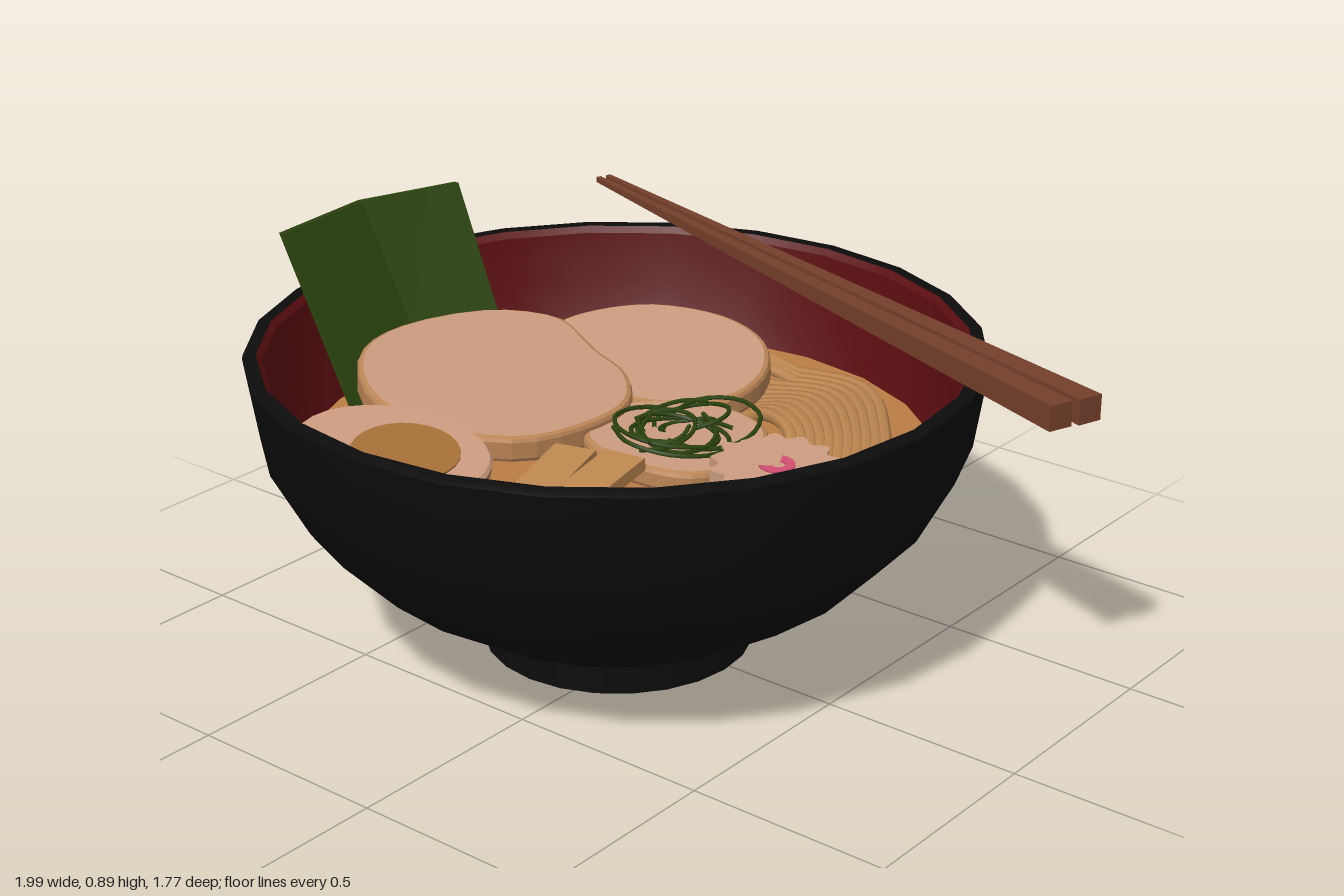
import * as THREE from 'three';
import { toCreasedNormals } from 'three/addons/utils/BufferGeometryUtils.js';

const CX = -0.115, CZ = 0.02, SOUP = 0.48;

function mat(name, color, side = THREE.FrontSide) {
  const m = new THREE.MeshStandardMaterial({ color, side });
  m.name = name;
  return m;
}

export function createModel() {
  const root = new THREE.Group();
  root.name = 'noodleBowl';
  const black = mat('black lacquer', 0x0c0c0c);
  const red = mat('dark red lacquer', 0x5a0d10);
  const broth = mat('broth', 0xba7d44);
  const noodle = mat('noodle tan', 0xbd8650);
  const pale = mat('pale pink', 0xcb9c7f);
  const tan = mat('meat edge', 0xbb8556);
  const yolkMat = mat('yolk', 0xa56f38);
  const green = mat('dark green', 0x2b430e);
  const wood = mat('reddish wood', 0x75402b);
  const pink = mat('pink', 0xcf4d70);

  const add = (name, geo, material, parent = root) => {
    const m = new THREE.Mesh(geo, material);
    m.name = name;
    parent.add(m);
    return m;
  };
  const lathe = (name, pts, material) => {
    const g = new THREE.LatheGeometry(pts.map(p => new THREE.Vector2(...p)), 24);
    add(name, g, material).position.set(CX, 0, CZ);
  };

  // Bowl
  lathe('footBase', [[0, 0], [0.325, 0]], black);
  lathe('foot', [[0.325, 0], [0.325, 0.085]], black);
  lathe('bowlOutside', [[0.325, 0.08], [0.44, 0.13], [0.61, 0.24], [0.745, 0.38], [0.83, 0.54], [0.86, 0.74]], black);
  lathe('bowlRim', [[0.86, 0.74], [0.858, 0.75], [0.828, 0.75]], black);
  lathe('bowlLip', [[0.828, 0.75], [0.815, 0.735]], red);
  lathe('bowlInside', [[0.815, 0.735], [0.795, 0.62], [0.75, SOUP], [0.72, 0.43]], red);
  lathe('soup', [[0.752, SOUP], [0, SOUP]], broth);

  // Noodle strands lying half sunk in the soup, given as [x, z] points
  const strand = (pts, y = SOUP + 0.012) => {
    const curve = new THREE.CatmullRomCurve3(pts.map(([x, z], i) =>
      new THREE.Vector3(x, i === 0 || i === pts.length - 1 ? SOUP - 0.01 : y, z)));
    add('noodle', new THREE.TubeGeometry(curve, 18, 0.017, 6), noodle);
  };
  const mix = (a, b, t) => a.map((p, i) => [p[0] + (b[i][0] - p[0]) * t, p[1] + (b[i][1] - p[1]) * t]);
  const inner = [[-0.02, -0.3], [0.1, -0.28], [0.22, -0.21], [0.28, -0.12]];
  const outer = [[-0.12, -0.64], [0.14, -0.62], [0.34, -0.42], [0.49, -0.19]];
  for (let i = 0; i < 11; i++) strand(mix(inner, outer, i / 10), SOUP + 0.045 - i * 0.003);
  const arc = (r, from, to) => {
    const pts = [];
    for (let k = 0; k <= 5; k++) {
      const a = THREE.MathUtils.degToRad(from + (to - from) * k / 5);
      pts.push([CX + r * Math.cos(a), CZ + r * Math.sin(a)]);
    }
    strand(pts, SOUP + 0.02);
  };
  for (let i = 0; i < 6; i++) arc(0.42 + i * 0.045, 75 + i * 3, 165 - i * 2);
  for (let i = 0; i < 3; i++) arc(0.6 + i * 0.03, 190 + i * 8, 285 - i * 5);
  strand([[0.05, 0.56], [0.12, 0.53], [0.2, 0.52], [0.28, 0.43]]);
  strand([[0.04, 0.6], [0.14, 0.57], [0.22, 0.58], [0.28, 0.6]]);
  strand([[0.57, 0.06], [0.54, 0.15], [0.44, 0.22]]);
  strand([[0.5, 0.07], [0.47, 0.14], [0.4, 0.18]]);
  strand([[0.13, 0.2], [0.16, 0.32], [0.13, 0.45]]);
  strand([[0.3, 0.15], [0.22, 0.23], [0.14, 0.33]]);

  // Flat slices cut from an outline of [x, z] points around a centre
  const slice = (name, pts, thick, [x, y, z], [rx, rz], mats) => {
    const shape = new THREE.Shape();
    const c = new THREE.CatmullRomCurve3(pts.map(p => new THREE.Vector3(p[0], -p[1], 0)), true);
    shape.setFromPoints(c.getPoints(40).slice(0, -1).map(p => new THREE.Vector2(p.x, p.y)));
    const g = new THREE.ExtrudeGeometry(shape, {
      depth: thick, bevelEnabled: true, bevelSize: 0.014, bevelThickness: 0.012, bevelOffset: -0.014, bevelSegments: 2
    });
    g.rotateX(-Math.PI / 2);
    const m = add(name, g, mats);
    m.position.set(x, y, z);
    m.rotation.set(rx, 0, rz);
  };
  const meat = [pale, tan];
  slice('backPorkSlice', [[-0.33, 0.03], [-0.3, -0.1], [-0.2, -0.21], [0, -0.25], [0.18, -0.18],
    [0.3, -0.02], [0.31, 0.14], [0.2, 0.25], [0, 0.28], [-0.22, 0.2]], 0.035, [-0.29, 0.525, -0.37], [0.06, 0], meat);
  slice('frontPorkSlice', [[-0.36, -0.04], [-0.27, -0.28], [-0.12, -0.36], [0.03, -0.3], [0.09, -0.27], [0.22, -0.22],
    [0.33, -0.1], [0.35, 0.05], [0.29, 0.24], [0.1, 0.34], [-0.12, 0.31], [-0.32, 0.14]],
    0.04, [-0.45, 0.555, 0.07], [0, -0.06], meat);
  slice('smallPorkSlice', [[-0.23, 0.0], [-0.15, -0.13], [0, -0.2], [0.13, -0.16], [0.2, 0], [0.15, 0.15],
    [0, 0.2], [-0.15, 0.17]], 0.03, [0.06, 0.515, 0.0], [0, -0.05], meat);

  // Shredded spring onion: thin loose loops
  let seed = 7;
  const rnd = () => (seed = (seed * 16807) % 2147483647) / 2147483647;
  for (let i = 0; i < 11; i++) {
    const r = 0.06 + rnd() * 0.08, a0 = rnd() * 6.28, span = 2.5 + rnd() * 3;
    const ox = 0.07 + (rnd() - 0.5) * 0.12, oz = (rnd() - 0.5) * 0.14, tilt = rnd() * 6.28;
    const pts = [];
    for (let k = 0; k <= 6; k++) {
      const a = a0 + span * k / 6;
      pts.push(new THREE.Vector3(ox + r * Math.cos(a), 0.58 + 0.02 * Math.sin(a + tilt), oz + r * Math.sin(a)));
    }
    add('springOnionShred', new THREE.TubeGeometry(new THREE.CatmullRomCurve3(pts), 20, 0.0055, 5), green);
  }

  // Scalloped fish cake with a pink swirl
  const cake = new THREE.Group();
  cake.name = 'fishCake';
  cake.position.set(0.345, 0.525, 0.015);
  cake.rotation.set(0.04, 0, -0.08);
  root.add(cake);
  const rim = new THREE.Shape();
  for (let i = 0; i <= 84; i++) {
    const a = i / 84 * Math.PI * 2, r = 0.142 + 0.012 * Math.cos(14 * a);
    rim[i ? 'lineTo' : 'moveTo'](r * Math.cos(a), r * Math.sin(a));
  }
  const cakeGeo = new THREE.ExtrudeGeometry(rim, { depth: 0.04, bevelEnabled: false });
  cakeGeo.rotateX(-Math.PI / 2);
  add('fishCakeBody', toCreasedNormals(cakeGeo, 0.8), pale, cake);
  const swirl = new THREE.Shape();
  swirl.absarc(0, 0, 0.042, -2.2, 1.9, false);
  swirl.absarc(0.004, 0, 0.016, 1.9, -1.8, true);
  const swirlGeo = new THREE.ExtrudeGeometry(swirl, { depth: 0.004, bevelEnabled: false, curveSegments: 16 });
  swirlGeo.rotateX(-Math.PI / 2);
  add('pinkSwirl', swirlGeo, pink, cake).position.y = 0.04;

  // Bamboo shoot slats
  const slat = (x, z, len, angle, y) => {
    const m = add('bambooShoot', new THREE.BoxGeometry(0.105, 0.03, len), noodle);
    m.position.set(x, y, z);
    m.rotation.set(0.1, angle, 0);
  };
  slat(-0.015, 0.45, 0.48, 0.24, 0.525);
  slat(0.09, 0.43, 0.46, 0.12, 0.54);
  const tip = add('bambooTip', new THREE.BoxGeometry(0.11, 0.03, 0.05), wood);
  tip.position.set(0.1, 0.485, 0.7);
  tip.rotation.y = 0.2;

  // Half egg, cut face up
  const egg = new THREE.Group();
  egg.name = 'halfEgg';
  egg.position.set(-0.335, 0.59, 0.545);
  egg.rotation.set(0.1, 0.3, -0.14);
  root.add(egg);
  const shell = new THREE.SphereGeometry(1, 28, 8, 0, Math.PI * 2, Math.PI / 2, Math.PI / 2);
  add('eggOutside', shell.scale(0.235, 0.14, 0.185), tan, egg);
  const face = new THREE.CylinderGeometry(0.97, 1, 0.008, 28).scale(0.235, 1, 0.185);
  add('eggWhite', face, pale, egg).position.y = 0.004;
  add('eggYolk', new THREE.CylinderGeometry(0.125, 0.125, 0.006, 24), yolkMat, egg).position.set(0.035, 0.009, 0.005);

  // Seaweed sheet: a thin box folded along its middle and leaning on the rim
  const sheet = new THREE.BoxGeometry(0.014, 1, 1, 1, 1, 2);
  const sp = sheet.attributes.position;
  const foldX = [-0.905, -0.99, -0.96], foldZ = [-0.29, -0.03, 0.268];
  for (let i = 0; i < sp.count; i++) {
    const k = Math.round((sp.getZ(i) + 0.5) * 2), y = sp.getY(i) > 0 ? 0.895 : 0.44;
    const drop = 0.895 - y;
    sp.setXYZ(i, foldX[k] + sp.getX(i) + drop * 0.53, y, foldZ[k] + (k === 0 ? drop * 0.12 : 0));
  }
  add('seaweedSheet', toCreasedNormals(sheet, 0.3), green);

  // Chopsticks: boxes tapered from the thick end to the tip
  const chopstick = (name, a, b) => {
    const tipEnd = new THREE.Vector3(...a), handle = new THREE.Vector3(...b);
    const side = handle.clone().sub(tipEnd).cross(new THREE.Vector3(0, 1, 0)).normalize();
    const g = new THREE.BoxGeometry(1, 1, 1), p = g.attributes.position;
    for (let i = 0; i < p.count; i++) {
      const t = p.getX(i) + 0.5, w = 0.014 + 0.046 * t;
      const v = tipEnd.clone().lerp(handle, t).addScaledVector(side, p.getZ(i) * w);
      p.setXYZ(i, v.x, v.y + p.getY(i) * w, v.z);
    }
    add(name, toCreasedNormals(g, 0.3), wood);
  };
  chopstick('backChopstick', [-0.9, 0.762, -0.88], [0.985, 0.78, -0.25]);
  chopstick('frontChopstick', [-0.91, 0.762, -0.852], [0.955, 0.78, -0.18]);

  return root;
}
